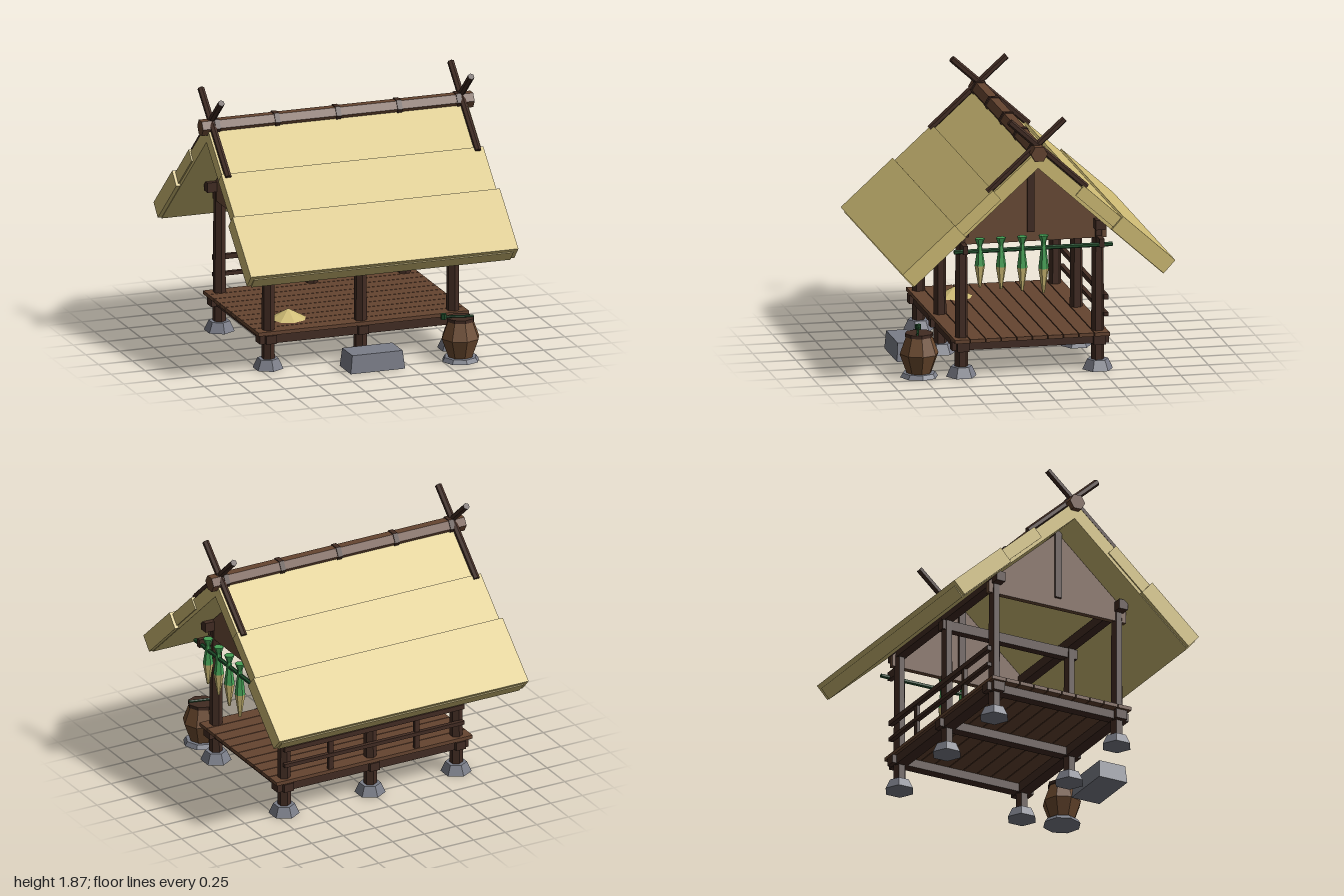
import * as THREE from 'three';

const mat = (name, color, side = THREE.FrontSide) => {
  const m = new THREE.MeshStandardMaterial({ color, flatShading: true, side });
  m.name = name;
  return m;
};

export function createModel() {
  const model = new THREE.Group();
  model.name = 'thatchedHut';
  const darkWood = mat('darkWood', 0x412b22);
  const wood = mat('wood', 0x654430);
  const gableWood = mat('gableWood', 0x6a4b36);
  const straw = mat('straw', 0xcfbc75);
  const stone = mat('stone', 0x7b7e89);
  const barrelWood = mat('barrelWood', 0x6c4a2f);
  const bamboo = mat('bamboo', 0x1f4d2b);
  const leaf = mat('leaf', 0x45a055);

  const add = (name, geo, material, x = 0, y = 0, z = 0) => {
    const m = new THREE.Mesh(geo, material);
    m.name = name;
    m.position.set(x, y, z);
    model.add(m);
    return m;
  };
  const box = (name, material, w, h, d, x, y, z) =>
    add(name, new THREE.BoxGeometry(w, h, d), material, x, y, z);
  const cyl = (name, material, rTop, rBottom, h, sides, x, y, z) =>
    add(name, new THREE.CylinderGeometry(rTop, rBottom, h, sides), material, x, y, z);
  // Pole between two points
  const pole = (name, material, a, b, r, sides = 6) => {
    const p = new THREE.Vector3(...a), q = new THREE.Vector3(...b), d = q.clone().sub(p);
    const m = cyl(name, material, r, r, d.length(), sides, ...p.clone().add(q).multiplyScalar(0.5));
    m.quaternion.setFromUnitVectors(new THREE.Vector3(0, 1, 0), d.normalize());
    return m;
  };
  // Prism along x from a (z, y) outline
  const prism = (name, material, points, width, x = 0) => {
    const shape = new THREE.Shape(points.map(([z, y]) => new THREE.Vector2(z, y)));
    const geo = new THREE.ExtrudeGeometry(shape, { depth: width, bevelEnabled: false });
    geo.rotateY(-Math.PI / 2).translate(width / 2, 0, 0);
    return add(name, geo, material, x);
  };

  // Posts on footing stones, with floor beams
  const postZ = 0.482;
  for (const x of [-0.68, 0, 0.68]) {
    for (const z of [-postZ, postZ]) {
      cyl('footingStone', stone, 0.075, 0.108, 0.072, 6, x, 0.036, z);
      cyl('post', darkWood, 0.041, 0.047, 0.97, 6, x, 0.545, z);
    }
    box('floorCrossBeam', darkWood, 0.075, 0.06, 1.11, x, 0.22, 0);
  }
  for (const z of [-postZ, postZ]) {
    box('floorBeam', darkWood, 1.51, 0.068, 0.085, 0, 0.22, z);
    box('wallPlate', darkWood, 1.56, 0.07, 0.068, 0, 1.044, z);
  }
  box('tieBeam', darkWood, 0.06, 0.07, 1.06, 0, 0.975, 0);

  // Floor boards
  for (let i = 0; i < 10; i++) {
    box('floorBoard', wood, 1.55, 0.026, 0.104, 0, 0.265, -0.495 + i * 0.11);
  }

  // Back railing
  for (const [y, h] of [[0.513, 0.035], [0.39, 0.027]]) {
    box('rail', darkWood, 1.42, h, 0.032, 0, y, -0.535);
  }
  for (const x of [-0.34, 0.34]) box('railPost', darkWood, 0.038, 0.235, 0.024, x, 0.39, -0.53);

  // Gable walls with king posts
  for (const s of [-1, 1]) {
    prism('gableWall', gableWood,
      [[-0.54, 0.94], [0.54, 0.94], [0.54, 1.022], [0, 1.508], [-0.54, 1.022]], 0.04, s * 0.69);
    box('kingPost', darkWood, 0.08, 0.505, 0.05, s * 0.69, 1.262, 0);
  }

  // Three overlapping layers of thatch on each slope
  const layers = [
    [1.91, [[0, 1.645], [0, 1.518], [0.885, 0.721], [0.947, 0.791]]],
    [1.93, [[0.322, 1.378], [0.264, 1.311], [0.75, 0.874], [0.808, 0.939]]],
    [1.97, [[0.596, 1.15], [0.516, 1.06], [0.882, 0.73], [0.964, 0.819]]],
  ];
  for (const s of [-1, 1]) {
    for (const [width, points] of layers) {
      prism('thatchLayer', straw, points.map(([z, y]) => [s * z, y]), width);
    }
  }

  // Ridge log, bindings and crossed poles
  pole('ridgeLog', wood, [-1, 1.627, 0], [1, 1.627, 0], 0.059);
  for (const x of [-0.89, -0.45, 0, 0.45, 0.89]) {
    pole('ridgeBinding', darkWood, [x - 0.018, 1.627, 0], [x + 0.018, 1.627, 0], 0.067);
  }
  for (const sx of [-1, 1]) {
    for (const sz of [-1, 1]) {
      pole('crossedPole', darkWood, [sx * 0.92 + sz * 0.003, 1.85, sz * 0.195],
        [sx * 0.92 + sz * 0.003, 1.36, sz * -0.348], 0.024);
    }
  }

  // Drying pole with hanging bundles
  pole('dryingPole', bamboo, [0.8, 0.912, -0.56], [0.8, 0.912, 0.56], 0.016);
  for (const z of [-postZ, postZ]) box('poleBracket', darkWood, 0.13, 0.06, 0.034, 0.755, 0.925, z);
  [0.378, 0.228, 0.078, -0.073].forEach((z, i) => {
    const mid = 0.81 - i * 0.015, low = 0.655 - i * 0.021;
    cyl('bundleTuft', leaf, 0.036, 0.016, 0.055, 6, 0.8, 0.973, z);
    cyl('bundleLeaves', leaf, 0.016, 0.037, 0.946 - mid, 6, 0.8, (0.946 + mid) / 2, z);
    cyl('bundleTip', straw, 0.037, 0.009, mid - low, 6, 0.8, (mid + low) / 2, z);
  });

  // Heap of straw on the floor
  cyl('strawHeap', straw, 0.004, 0.127, 0.068, 8, -0.455, 0.312, 0.278);

  // Tapered stone step
  const step = new THREE.BoxGeometry(0.4, 0.13, 0.22);
  const p = step.attributes.position;
  for (let i = 0; i < p.count; i++) {
    if (p.getY(i) > 0) p.setXYZ(i, p.getX(i) * 0.925, p.getY(i), p.getZ(i) * 0.92);
  }
  add('stoneStep', step, stone, 0, 0.065, 0.72);

  // Water barrel on a slab, with a ladle
  const bx = 0.63, bz = 0.77;
  cyl('barrelSlab', stone, 0.115, 0.134, 0.03, 8, bx, 0.015, bz);
  cyl('barrelLower', barrelWood, 0.137, 0.088, 0.135, 8, bx, 0.0975, bz);
  cyl('barrelUpper', barrelWood, 0.088, 0.137, 0.135, 8, bx, 0.2325, bz);
  cyl('barrelRim', darkWood, 0.1, 0.1, 0.024, 8, bx, 0.298, bz);
  pole('ladleHandle', bamboo, [0.51, 0.318, 0.75], [0.715, 0.318, 0.8], 0.009);
  cyl('ladleCup', bamboo, 0.022, 0.022, 0.038, 6, 0.512, 0.32, 0.75);

  return model;
}
